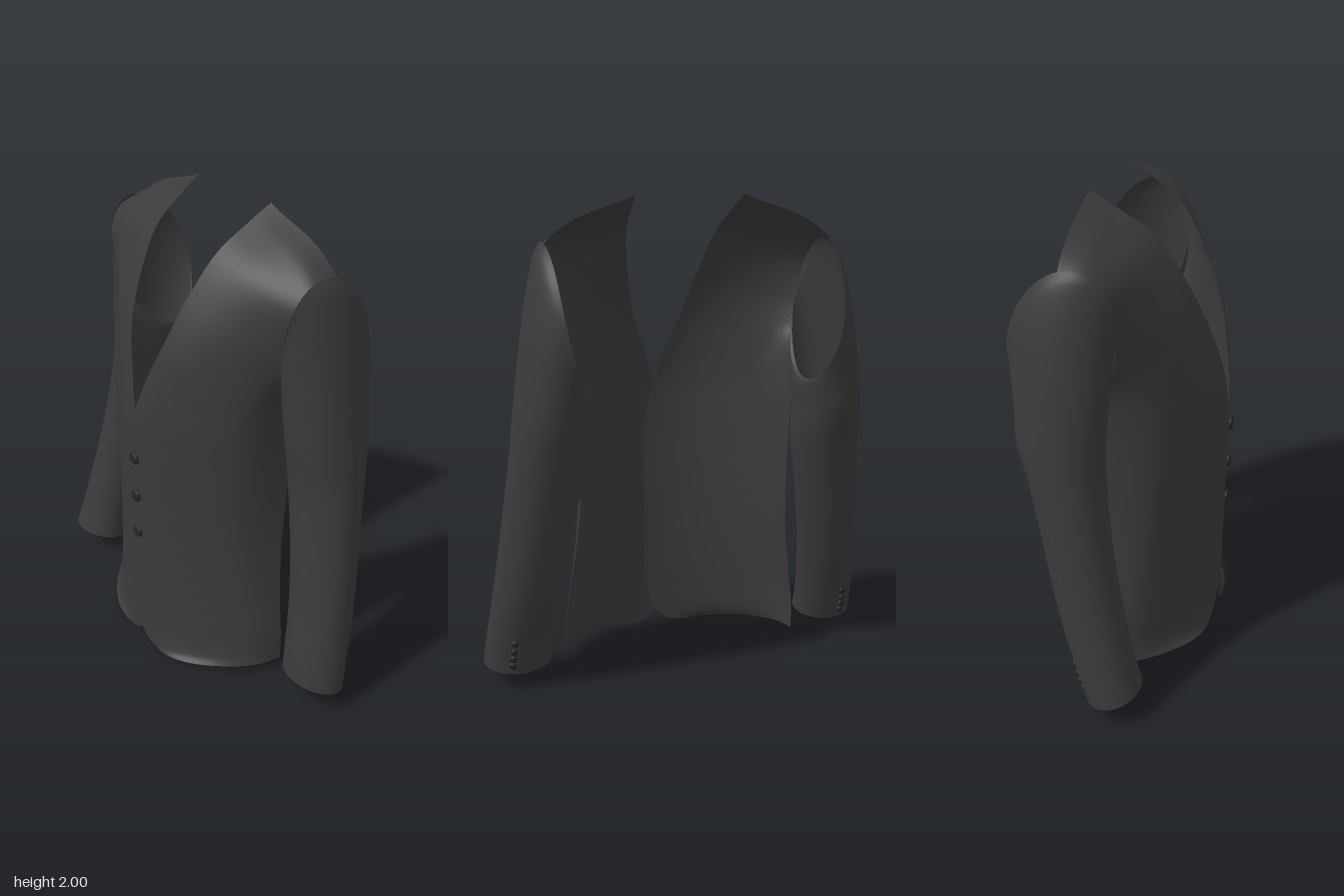
import * as THREE from 'three';
import { mergeVertices } from 'three/addons/utils/BufferGeometryUtils.js';

const cloth = new THREE.MeshStandardMaterial({ color: 0x3a3a3a, side: THREE.DoubleSide });
cloth.name = 'charcoal cloth';
const horn = new THREE.MeshStandardMaterial({ color: 0x262626 });
horn.name = 'dark button';

const V = (x, y, z) => new THREE.Vector3(x, y, z);
const spline = pts => new THREE.CatmullRomCurve3(pts.map(p => V(...p)));
const smooth = THREE.MathUtils.smoothstep;
const LEAN = 0.01; // the whole jacket hangs slightly towards its right

// Smooth grid surface from a rule point(u, v)
function gridSurface(name, nu, nv, point) {
  const pos = [], idx = [];
  for (let j = 0; j <= nv; j++) {
    for (let i = 0; i <= nu; i++) pos.push(...point(i / nu, j / nv).toArray());
  }
  for (let j = 0; j < nv; j++) {
    for (let i = 0; i < nu; i++) {
      const a = j * (nu + 1) + i, b = a + nu + 1;
      idx.push(a, a + 1, b, a + 1, b + 1, b);
    }
  }
  let geo = new THREE.BufferGeometry();
  geo.setAttribute('position', new THREE.Float32BufferAttribute(pos, 3));
  geo.setIndex(idx);
  geo = mergeVertices(geo, 1e-5);
  geo.computeVertexNormals();
  const mesh = new THREE.Mesh(geo, cloth);
  mesh.name = name;
  return mesh;
}

// Front panel edges, hem to shoulder: lapel and closing edge, then side and armhole
const innerEdge = spline([
  [0.14, 0.003, 0.335], [0.06, 0.018, 0.338], [0, 0.07, 0.342], [-0.03, 0.15, 0.345],
  [-0.05, 0.35, 0.348], [-0.05, 0.65, 0.352], [-0.045, 0.95, 0.358], [0, 1.16, 0.35],
  [0.05, 1.32, 0.323], [0.115, 1.5, 0.275], [0.16, 1.69, 0.19], [0.195, 1.85, 0.08],
  [0.213, 1.94, -0.05], [0.225, 2.0, -0.15]]);
const outerEdge = spline([
  [0.53, 0.045, 0.06], [0.53, 0.08, 0.06], [0.53, 0.12, 0.06], [0.526, 0.2, 0.062],
  [0.498, 0.4, 0.075], [0.468, 0.65, 0.09], [0.458, 0.95, 0.1], [0.462, 1.15, 0.09],
  [0.477, 1.262, 0.065], [0.504, 1.38, 0.035], [0.541, 1.55, 0.043], [0.578, 1.72, 0.035],
  [0.597, 1.8, -0.03], [0.601, 1.82, -0.145]]);

function frontPanel(name, side) {
  const lift = side > 0 ? 0.006 : -0.006; // one panel laps over the other
  return gridSurface(name, 36, 104, (t, v) => {
    const u = 1 - (1 - t) * (1 - t); // finer towards the side
    const a = innerEdge.getPoint(v), b = outerEdge.getPoint(v);
    b.x -= side * LEAN;
    const p = a.clone().lerp(b, u);
    p.z = a.z + (b.z - a.z) * Math.pow(u, 1.9) + lift * (1 - u);
    // side wraps backwards below the armhole
    const wrap = (0.08 + 0.12 * smooth(b.y, 0.1, 1.1)) * (1 - smooth(b.y, 1.22, 1.44));
    p.z -= wrap * Math.pow(u, 22);
    // rounded shoulder
    p.y += 0.2 * u * u * (1 - u) * Math.pow(v, 8);
    p.x *= side;
    return p;
  });
}

// Sleeve sections: height, inner x, outer x, back z, front z
const rings = [
  [0.095, 0.58, 0.867, -0.13, 0.09], [0.2, 0.575, 0.855, -0.155, 0.083],
  [0.4, 0.55, 0.828, -0.205, 0.05], [0.6, 0.515, 0.802, -0.24, 0.022],
  [0.8, 0.475, 0.777, -0.27, 0.005], [1.0, 0.435, 0.752, -0.305, 0],
  [1.13, 0.43, 0.737, -0.327, 0.015]];

function ringPoint(k, angle, side) {
  let [y, xi, xo, zb, zf] = rings[k];
  if (side < 0) { // this arm hangs further forward
    const t = k / (rings.length - 1), s = 0.1 * (1 - t);
    xi += 0.022 + 0.018 * t; xo += 0.005 + 0.008 * t; zb += s; zf += s;
  }
  const c = Math.cos(angle), s = Math.sin(angle);
  return V((xi + xo) / 2 + (xo - xi) / 2 * c,
    y + (k === 0 ? 0.026 * s : 0), (zb + zf) / 2 + (zf - zb) / 2 * s);
}

// Slanted armhole loop where the sleeve head ends, turned outwards at the back
function armhole(angle, side) {
  const s = Math.sin(angle), y = 1.54 + 0.275 * Math.cos(angle) + 0.09 * s;
  const turn = 0.04 * Math.min(s, 0) ** 2;
  return V(0.47 + 0.13 * (y - 1.25) / 0.58 + turn - side * LEAN, y, -0.16 + 0.212 * s);
}

// One lengthwise curve of the sleeve, from cuff to armhole
function sleeveLine(angle, side) {
  const pts = rings.map((_, k) => ringPoint(k, angle, side));
  const start = pts[pts.length - 1], end = armhole(angle, side), dy = end.y - start.y;
  const ctrl = V(start.x - 0.11 * dy, start.y + 0.95 * dy, start.z * 0.35 + end.z * 0.65);
  const head = new THREE.QuadraticBezierCurve3(start, ctrl, end);
  for (const t of [0.2, 0.4, 0.6, 0.8, 1]) pts.push(head.getPoint(t));
  const curve = new THREE.CatmullRomCurve3(pts);
  return t => { const p = curve.getPoint(t); p.x *= side; return p; };
}

function sleeve(name, side) {
  const n = 40;
  const lines = Array.from({ length: n + 1 }, (_, i) => sleeveLine((i % n) / n * Math.PI * 2, side));
  return gridSurface(name, n, 66, (u, v) => lines[Math.round(u * n)](v));
}

// Domed round button facing a direction
const buttonProfile = [[0, 0], [0.9, 0], [1, 0.004], [0.88, 0.012], [0.6, 0.013], [0, 0.015]];
function button(name, radius, depth, position, facing) {
  const geo = new THREE.LatheGeometry(
    buttonProfile.map(([r, h]) => new THREE.Vector2(r * radius, h * depth)), 20);
  const mesh = new THREE.Mesh(geo, horn);
  mesh.name = name;
  mesh.position.copy(position);
  mesh.quaternion.setFromUnitVectors(V(0, 1, 0), facing.normalize());
  return mesh;
}

export function createModel() {
  const jacket = new THREE.Group();
  jacket.name = 'jacket';
  for (const [label, side] of [['left', 1], ['right', -1]]) {
    jacket.add(frontPanel(label + 'FrontPanel', side), sleeve(label + 'Sleeve', side));
    // Four cuff buttons along the back of the sleeve
    const angle = -Math.PI * 0.4, line = sleeveLine(angle, side);
    for (const t of [0.03, 0.053, 0.076, 0.099]) {
      jacket.add(button(label + 'CuffButton', 0.016, 0.8, line(t),
        V(side * Math.cos(angle), -0.2, Math.sin(angle))));
    }
  }
  // Three closing buttons
  [[0.97, 0.361], [0.787, 0.358], [0.605, 0.355]].forEach(([y, z]) =>
    jacket.add(button('frontButton', 0.028, 1, V(0.012, y, z), V(0, 0, 1))));
  return jacket;
}
